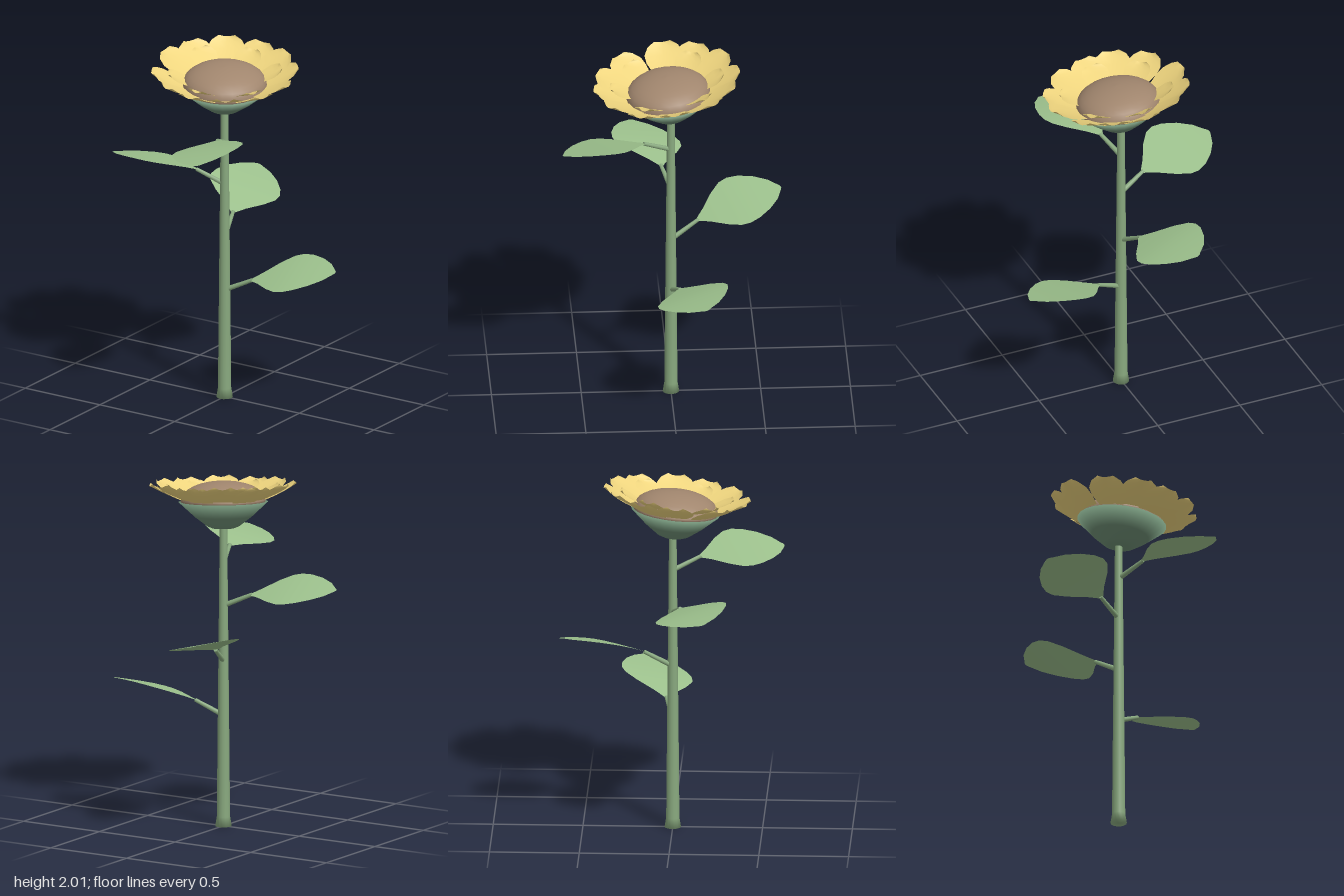
import * as THREE from 'three';

const paint = (color) => new THREE.MeshStandardMaterial({ color, side: THREE.DoubleSide });
const stemMat = paint(0x88a87e), leafMat = paint(0x9cc08c), calyxMat = paint(0x6f8f75);
const petalMat = paint(0xefd57e), discMat = paint(0xa1866e);
const V2 = (p) => new THREE.Vector2(p[0], p[1]);

function add(parent, name, geometry, material) {
  const mesh = new THREE.Mesh(geometry, material);
  mesh.name = name;
  parent.add(mesh);
  return mesh;
}

// Thin blade along +x: rows of [t, half width], height given by a rule of t, z and side (-1..1)
function blade(x0, x1, rows, height, across = 6) {
  const pos = [], index = [];
  rows.forEach(([t, w], i) => {
    for (let j = 0; j <= across; j++) {
      const side = (j / across) * 2 - 1, z = side * w;
      // the last row bulges a little to round the end
      const x = x0 + (x1 - x0) * t - (i === rows.length - 1 ? side * side * 0.012 : 0);
      pos.push(x, height(t, z, side), z);
      if (i && j) {
        const b = i * (across + 1) + j, a = b - across - 1;
        index.push(a - 1, a, b - 1, a, b, b - 1);
      }
    }
  });
  const g = new THREE.BufferGeometry();
  g.setAttribute('position', new THREE.Float32BufferAttribute(pos, 3));
  g.setIndex(index);
  g.computeVertexNormals();
  return g;
}

// Rod between two points
function rod(a, b, r0, r1) {
  const d = b.clone().sub(a);
  const g = new THREE.CylinderGeometry(r1, r0, d.length(), 8);
  g.translate(0, d.length() / 2, 0);
  g.applyQuaternion(new THREE.Quaternion().setFromUnitVectors(new THREE.Vector3(0, 1, 0), d.normalize()));
  return g.translate(a.x, a.y, a.z);
}

export function createModel() {
  const root = new THREE.Group();
  root.name = 'flower';

  // Tapered stem with a flared foot
  const stemProfile = [[0, 0], [0.046, 0], [0.037, 0.055], [0.034, 0.4], [0.028, 1], [0.021, 1.72], [0, 1.72]];
  add(root, 'stem', new THREE.LatheGeometry(stemProfile.map(V2), 14), stemMat);

  // Leaves: angle in degrees, height on the stem, height of the blade base, rise of the blade
  const leafRows = [[0, 0.008], [0.12, 0.06], [0.27, 0.14], [0.4, 0.19], [0.5, 0.2], [0.62, 0.185],
    [0.77, 0.143], [0.9, 0.085], [1, 0.025]];
  const leaves = [[15, 0.63, 0.705, 0.1], [107, 0.94, 1.035, 0.12], [197, 1.255, 1.325, 0.055], [290, 1.5, 1.565, 0.02]];
  leaves.forEach(([angle, y0, y1, rise], i) => {
    const leaf = new THREE.Group();
    leaf.name = `leaf${i + 1}`;
    leaf.rotation.y = THREE.MathUtils.degToRad(angle);
    add(leaf, 'leafStalk', rod(new THREE.Vector3(0, y0, 0), new THREE.Vector3(0.165, y1 + 0.002, 0), 0.015, 0.011), stemMat);
    const h = (t, z) => y1 + rise * t + 0.02 * Math.sin(Math.PI * t) - 0.23 * z;
    add(leaf, 'leafBlade', blade(0.152, 0.652, leafRows, h), leafMat);
    root.add(leaf);
  });

  // Flower head, tipped slightly forward and to its left
  const head = new THREE.Group();
  head.name = 'flowerHead';
  head.position.y = 1.695;
  head.rotation.set(0.1, 0, -0.075);
  root.add(head);

  const calyxProfile = [[0, 0], [0.06, 0], [0.09, 0.012], [0.16, 0.065], [0.25, 0.148], [0, 0.15]];
  add(head, 'calyx', new THREE.LatheGeometry(calyxProfile.map(V2), 24), calyxMat);

  // Seed disc: short rim with a flattened dome
  const discProfile = [[0, 0.14], [0.238, 0.142]];
  for (let i = 0; i <= 8; i++) {
    const a = (i / 8) * Math.PI / 2;
    discProfile.push([0.235 * Math.cos(a), 0.16 + 0.105 * Math.sin(a)]);
  }
  add(head, 'seedDisc', new THREE.LatheGeometry(discProfile.map(V2), 24), discMat);

  // Petal rings
  const ring = (name, angles, r0, r1, rows, height) => angles.forEach((angle, i) => {
    const lift = (i % 2) * 0.006;
    const g = blade(r0, r1, rows, (t, z, s) => height(t) + lift + 0.014 * s * s * t, 4);
    add(head, name, g, petalMat).rotation.y = THREE.MathUtils.degToRad(angle);
  });
  const outerRows = [[0, 0.04], [0.3, 0.07], [0.52, 0.1], [0.7, 0.107], [0.87, 0.085], [1, 0.045]];
  ring('outerPetal', [92, 64, 38, 3, -25, -56, -86, -110, -141, -180, -208, -238], 0.15, 0.412, outerRows,
    (t) => 0.13 + 0.113 * t ** 1.2);
  const innerRows = [[0, 0.04], [0.4, 0.072], [0.65, 0.08], [0.85, 0.062], [1, 0.035]];
  ring('innerPetal', [94, 40, -27, -87, -140, -210], 0.17, 0.322, innerRows, (t) => 0.165 + 0.068 * t);

  return root;
}
